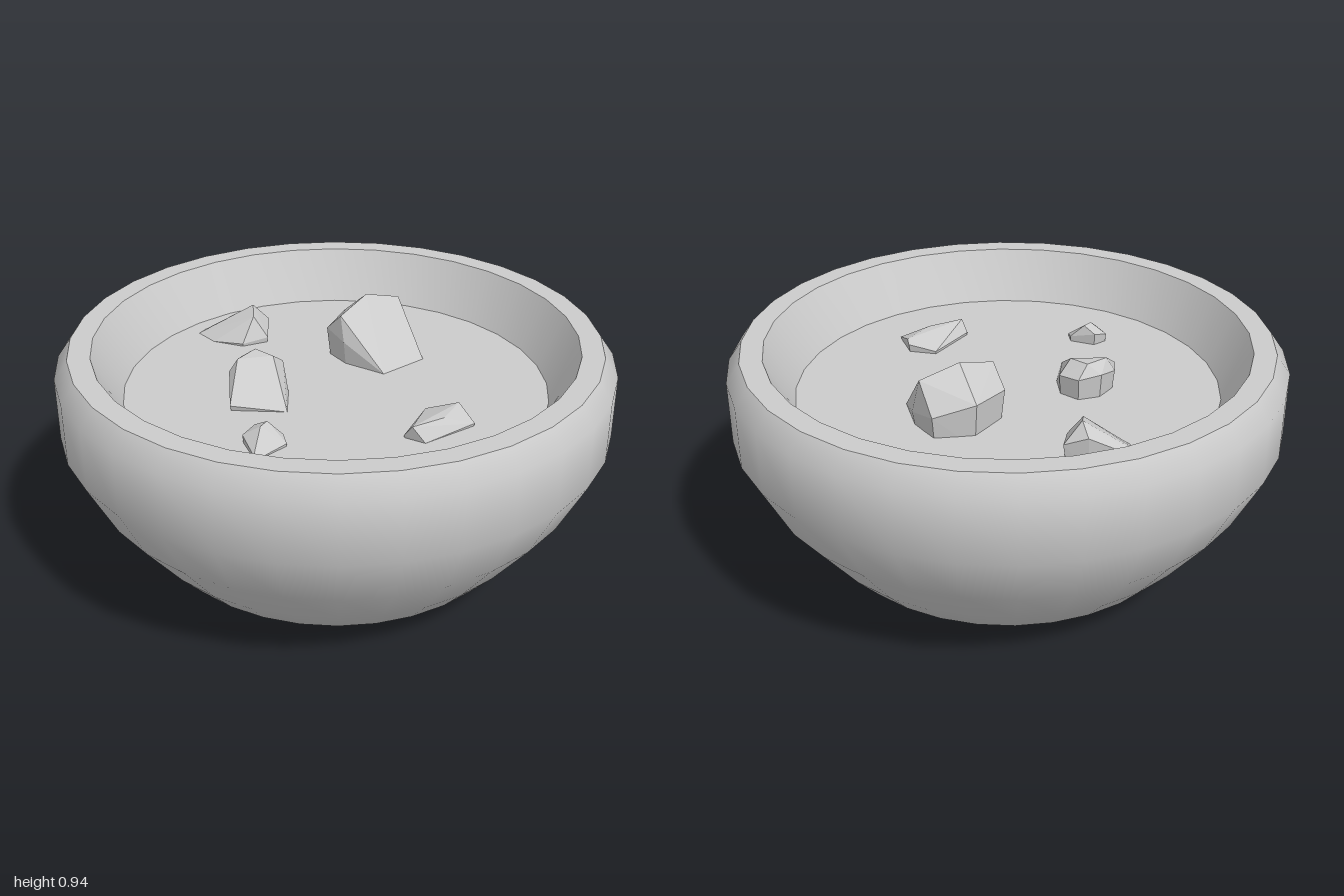
import * as THREE from 'three';
import { toCreasedNormals } from 'three/addons/utils/BufferGeometryUtils.js';
import { ConvexGeometry } from 'three/addons/geometries/ConvexGeometry.js';

const SIDES = 32;
const HALF_STEP = Math.PI / SIDES;
const FIT = 1 / Math.cos(HALF_STEP); // radii are measured to the flats
const SOUP_Y = 0.71;

// Chunks: a visible outline and the raised top points, each as [x, y, z]
const CHUNKS = {
  largeChunk: {
    outline: [[0.14, 0.82, -0.22], [0.29, 0.83, -0.29], [0.43, 0.79, -0.23], [0.44, 0.76, -0.1],
      [0.39, 0.71, 0.05], [0.19, 0.71, 0.05], [0.13, 0.8, -0.11]],
    top: [[0.14, 0.895, -0.14], [0.285, 0.937, -0.162], [0.43, 0.895, -0.14]],
  },
  middleChunk: {
    outline: [[-0.42, 0.73, -0.08], [-0.32, 0.78, -0.22], [-0.235, 0.8, -0.26], [-0.15, 0.79, -0.24],
      [-0.12, 0.785, -0.16], [-0.17, 0.71, -0.065], [-0.27, 0.71, 0.055]],
    top: [[-0.295, 0.83, -0.2], [-0.18, 0.83, -0.14], [-0.2, 0.835, -0.22]],
  },
  backChunk: {
    outline: [[-0.13, 0.71, -0.69], [-0.09, 0.72, -0.69], [0.05, 0.79, -0.61], [0.11, 0.755, -0.55],
      [0.03, 0.73, -0.45], [-0.07, 0.72, -0.48], [-0.13, 0.71, -0.59]],
    top: [[0.0, 0.81, -0.5], [0.04, 0.83, -0.555]],
  },
  smallChunk: {
    outline: [[-0.555, 0.72, 0.24], [-0.52, 0.74, 0.13], [-0.46, 0.755, 0.12], [-0.4, 0.73, 0.2],
      [-0.42, 0.72, 0.245], [-0.53, 0.715, 0.255]],
    top: [[-0.48, 0.78, 0.18], [-0.44, 0.78, 0.165]],
  },
  frontChunk: {
    outline: [[-0.08, 0.72, 0.455], [0.11, 0.72, 0.36], [0.19, 0.74, 0.43], [0.165, 0.72, 0.55], [-0.05, 0.71, 0.53]],
    top: [[-0.075, 0.765, 0.49], [0.06, 0.76, 0.505], [0.185, 0.755, 0.45]],
  },
};

// Faceted lump whose underside is sunk below the soup
function chunkGeometry({ outline, top }) {
  const rim = outline.map((p) => new THREE.Vector3(...p));
  const centre = rim.reduce((sum, p) => sum.add(p), new THREE.Vector3()).divideScalar(rim.length);
  const sunk = rim.map((p) => p.clone().lerp(centre, 0.1).setY(SOUP_Y - 0.05));
  return new ConvexGeometry([...rim, ...sunk, ...top.map((p) => new THREE.Vector3(...p))]);
}

export function createModel() {
  const model = new THREE.Group();
  model.name = 'bowlOfSoup';
  const smooth = new THREE.MeshStandardMaterial({ color: 0xcccccc, side: THREE.DoubleSide });
  const faceted = new THREE.MeshStandardMaterial({ color: 0xcccccc, flatShading: true });

  const add = (name, geometry, material) => {
    const mesh = new THREE.Mesh(geometry, material);
    mesh.name = name;
    model.add(mesh);
    return mesh;
  };

  // Bowl: outer wall, chamfer, flat rim, then the inner wall down to the soup
  const profile = [[0, 0], [0.45, 0], [0.67, 0.12], [0.76, 0.22], [0.9, 0.4], [1, 0.6], [1, 0.83],
    [0.95, 0.9], [0.87, 0.9], [0.77, SOUP_Y]].map(([r, y]) => new THREE.Vector2(r * FIT, y));
  add('bowl', toCreasedNormals(new THREE.LatheGeometry(profile, SIDES, HALF_STEP), 0.8), smooth);

  // Soup surface
  const soup = new THREE.CircleGeometry(0.77 * FIT, SIDES, HALF_STEP);
  soup.rotateX(-Math.PI / 2).translate(0, SOUP_Y, 0);
  add('soup', soup, smooth);

  // Floating chunks
  for (const [name, shape] of Object.entries(CHUNKS)) add(name, chunkGeometry(shape), faceted);

  return model;
}
